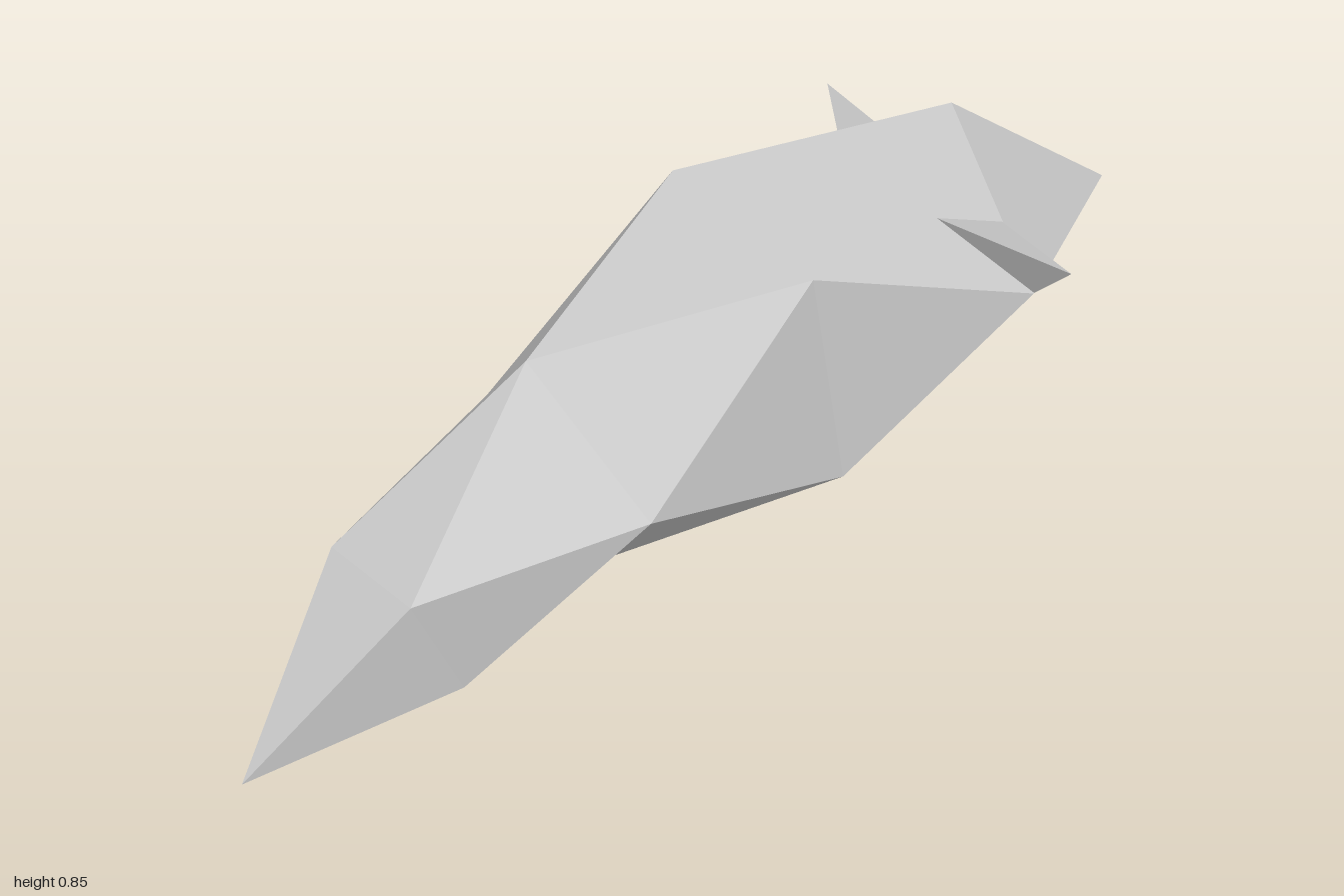
import * as THREE from 'three';

const grey = new THREE.MeshStandardMaterial({ color: 0xcccccc, flatShading: true });
grey.name = 'lightGrey';

function facetedMesh(name, triangles) {
  const geometry = new THREE.BufferGeometry();
  geometry.setAttribute('position', new THREE.Float32BufferAttribute(triangles.flat(2), 3));
  geometry.computeVertexNormals();
  const mesh = new THREE.Mesh(geometry, grey);
  mesh.name = name;
  return mesh;
}

// Ring with a pair of corners above and a pair below
const pairRing = (xt, yt, zt, xb, yb, zb) =>
  [[-xt, yt, zt], [xt, yt, zt], [xb, yb, zb], [-xb, yb, zb]];
// Ring with a crest, two flanks and a keel
const diamondRing = (crest, flank, keel) =>
  [[0, ...crest], flank, [0, ...keel], [-flank[0], flank[1], flank[2]]];

// Body: four staggered four-sided rings between a nose tip and a tail tip
function makeBody() {
  const nose = [0, 0, 1];
  const tail = [0, 0.525, -1];
  const rings = [
    pairRing(0.122, 0.344, 0.7, 0.122, 0.108, 0.575),
    diamondRing([0.684, 0.34], [0.254, 0.414, 0.24], [0.148, 0.14]),
    pairRing(0.217, 0.775, -0.165, 0.216, 0.293, -0.235),
    diamondRing([0.845, -0.65], [0.261, 0.56, -0.645], [0.275, -0.625]),
  ];
  const tris = [];
  for (let i = 0; i < 4; i++) {
    const j = (i + 1) % 4;
    tris.push([nose, rings[0][j], rings[0][i]]);
    for (let k = 0; k < 3; k++) {
      const a = rings[k], b = rings[k + 1];
      if (k % 2 === 0) tris.push([a[i], a[j], b[i]], [a[j], b[j], b[i]]);
      else tris.push([a[i], b[j], b[i]], [a[i], a[j], b[j]]);
    }
    tris.push([rings[3][i], rings[3][j], tail]);
  }
  return facetedMesh('body', tris);
}

// Fin: a small three-sided spike with a flat back
function makeFin(side) {
  const at = (x, y, z) => [side * x, y, z];
  const front = at(0.15, 0.731, -0.503);
  const tip = at(0.377, 0.672, -0.645);
  const inner = at(0.158, 0.668, -0.645);
  const lower = at(0.262, 0.562, -0.645);
  const tris = [
    [inner, tip, lower],
    [front, tip, inner],
    [front, lower, tip],
    [front, inner, lower],
  ];
  if (side < 0) tris.forEach((t) => t.reverse());
  return facetedMesh(side > 0 ? 'leftFin' : 'rightFin', tris);
}

export function createModel() {
  const model = new THREE.Group();
  model.name = 'facetedCreature';
  model.add(makeBody(), makeFin(1), makeFin(-1));
  return model;
}
